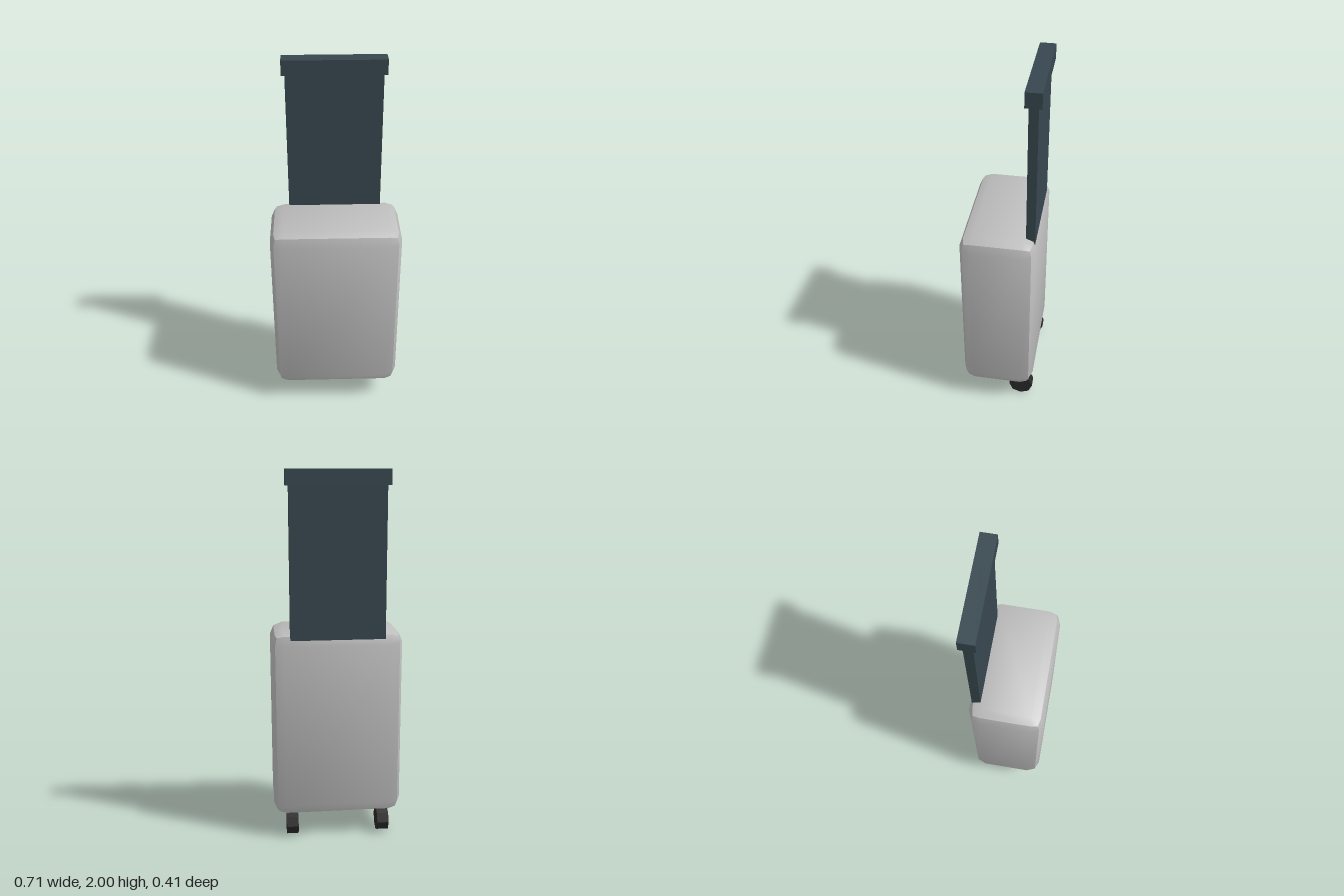
import * as THREE from 'three';
import { toCreasedNormals } from 'three/addons/utils/BufferGeometryUtils.js';
import { RoundedBoxGeometry } from 'three/addons/geometries/RoundedBoxGeometry.js';

export function createModel() {
  const model = new THREE.Group();
  model.name = 'suitcase';

  const material = (name, color, flatShading = false) => {
    const m = new THREE.MeshStandardMaterial({ color, flatShading });
    m.name = name;
    return m;
  };
  const shellGrey = material('shell grey', 0xbdbdbd);
  const handleSlate = material('handle slate', 0x37474f);
  const wheelBlack = material('wheel black', 0x292929, true);

  const add = (name, geometry, mat, x, y, z) => {
    const mesh = new THREE.Mesh(geometry, mat);
    mesh.name = name;
    mesh.position.set(x, y, z);
    model.add(mesh);
    return mesh;
  };

  // Shell: box with a two-facet bevel, creased along the middle of each edge
  const shell = new RoundedBoxGeometry(0.706, 1.04, 0.404, 1, 0.068);
  add('shell', toCreasedNormals(shell, 0.6), shellGrey, 0, 0.645, 0.002);

  // Extended pull handle: wide flat panel with a grip bar on top
  add('handlePanel', new THREE.BoxGeometry(0.506, 0.84, 0.048), handleSlate, 0, 1.5, -0.165);
  add('handleGrip', new THREE.BoxGeometry(0.54, 0.08, 0.083), handleSlate, 0, 1.96, -0.165);

  // Two eight-sided wheels under the back edge
  const wheel = new THREE.CylinderGeometry(0.068, 0.068, 0.064, 8).rotateZ(Math.PI / 2);
  for (const [name, side] of [['leftWheel', 1], ['rightWheel', -1]]) {
    add(name, wheel, wheelBlack, side * 0.253, 0.068, -0.13);
  }

  return model;
}
